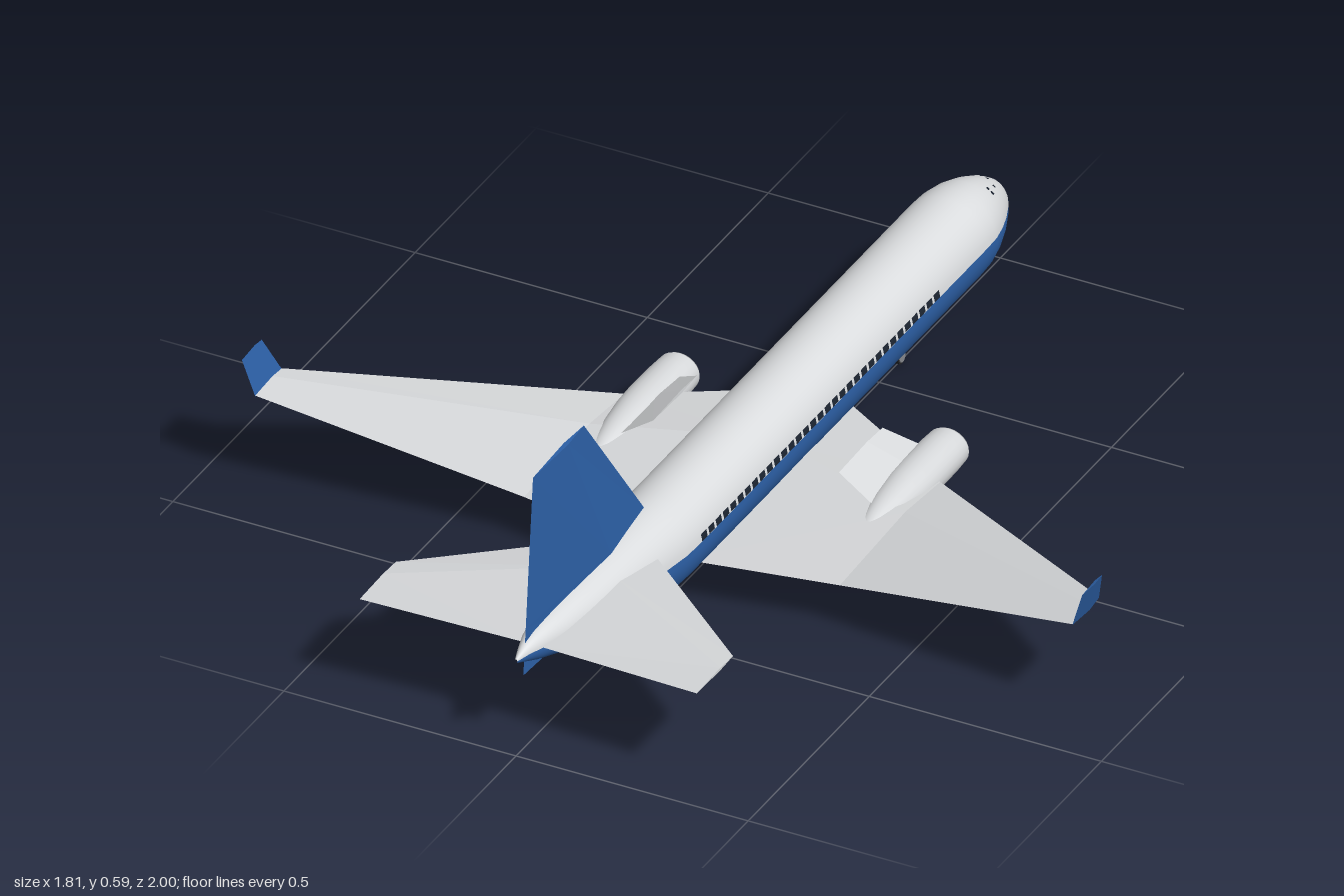
import * as THREE from 'three';

const mat = (name, color, side = THREE.FrontSide) => {
  const m = new THREE.MeshStandardMaterial({ color, side });
  m.name = name;
  return m;
};

// Fuselage stations: z, bottom y, top y, half width
const STATIONS = [
  [-1, 0.148, 0.156, 0.003], [-0.985, 0.133, 0.177, 0.02], [-0.96, 0.115, 0.204, 0.038],
  [-0.93, 0.1, 0.225, 0.054], [-0.89, 0.086, 0.244, 0.071], [-0.85, 0.077, 0.257, 0.084],
  [-0.81, 0.072, 0.263, 0.092], [-0.77, 0.07, 0.265, 0.0935], [0.42, 0.07, 0.265, 0.0935],
  [0.47, 0.072, 0.265, 0.092], [0.55, 0.083, 0.264, 0.084], [0.66, 0.1, 0.261, 0.073],
  [0.76, 0.126, 0.257, 0.06], [0.86, 0.156, 0.251, 0.043], [0.93, 0.18, 0.243, 0.026],
  [0.97, 0.197, 0.232, 0.013], [1, 0.21, 0.218, 0.003],
];
const SPLIT = 0.12; // angle above the middle where the paint changes

// Point on the hull at a given z and angle
function hullPoint(z, angle, out = 0) {
  let i = 0;
  while (i < STATIONS.length - 2 && STATIONS[i + 1][0] < z) i++;
  const [a, b] = [STATIONS[i], STATIONS[i + 1]];
  const t = (z - a[0]) / (b[0] - a[0]);
  const [, lo, hi, w] = a.map((v, k) => v + (b[k] - v) * t);
  return [(w + out) * Math.cos(angle), (lo + hi) / 2 + ((hi - lo) / 2 + out) * Math.sin(angle), z];
}

// Patch of hull skin between two angles over a list of z values
function hullPatch(zs, a0, a1, n, out = 0) {
  const pos = [], idx = [];
  for (const z of zs) for (let j = 0; j <= n; j++) pos.push(...hullPoint(z, a0 + ((a1 - a0) * j) / n, out));
  for (let i = 0; i < zs.length - 1; i++) for (let j = 0; j < n; j++) {
    const a = i * (n + 1) + j, d = a + n + 1;
    idx.push(a, a + 1, d, a + 1, d + 1, d);
  }
  const g = new THREE.BufferGeometry();
  g.setAttribute('position', new THREE.Float32BufferAttribute(pos, 3));
  g.setIndex(idx);
  g.computeVertexNormals();
  return g;
}

// Tapered blade; sections are [x, y, front z, back z, thickness]
function blade(sections, side = 1) {
  const pos = [], idx = [];
  const tri = (a, b, c) => (side > 0 ? idx.push(a, b, c) : idx.push(a, c, b));
  for (const [x, y, z0, z1, t] of sections) {
    const ridge = z0 + (z1 - z0) * 0.35;
    pos.push(side * x, y, z0, side * x, y + t / 2, ridge, side * x, y, z1, side * x, y - t / 2, ridge);
  }
  const last = (sections.length - 1) * 4;
  for (let i = 0; i < last; i += 4) for (let j = 0; j < 4; j++) {
    const k = (j + 1) % 4;
    tri(i + j, i + k, i + 4 + j);
    tri(i + k, i + 4 + k, i + 4 + j);
  }
  tri(0, 2, 1); tri(0, 3, 2);
  tri(last, last + 1, last + 2); tri(last, last + 2, last + 3);
  let g = new THREE.BufferGeometry();
  g.setAttribute('position', new THREE.Float32BufferAttribute(pos, 3));
  g.setIndex(idx);
  g = g.toNonIndexed();
  g.computeVertexNormals();
  return g;
}

export function createModel() {
  const plane = new THREE.Group();
  plane.name = 'airliner';
  const white = mat('hull white', 0xdadcde);
  const grey = mat('wing grey', 0xd2d4d6);
  const blue = mat('livery blue', 0x2c5fa5);
  const shell = mat('nacelle grey', 0xd6d8da, THREE.DoubleSide);
  const dark = mat('glass dark', 0x1c2430, THREE.DoubleSide);
  const metal = mat('gear metal', 0x85888c);
  const rubber = mat('tyre black', 0x222326);

  const add = (name, geometry, material, x = 0, y = 0, z = 0, parent = plane) => {
    const m = new THREE.Mesh(geometry, material);
    m.name = name;
    m.position.set(x, y, z);
    parent.add(m);
    return m;
  };

  // Two-tone fuselage
  const zs = STATIONS.map((s) => s[0]);
  add('upperFuselage', hullPatch(zs, SPLIT, Math.PI - SPLIT, 24), white);
  add('lowerFuselage', hullPatch(zs, Math.PI - SPLIT, Math.PI * 2 + SPLIT, 28), blue);

  // Cabin windows on both sides
  const windows = new THREE.Group();
  windows.name = 'cabinWindows';
  plane.add(windows);
  for (let z = -0.56; z < 0.43; z += 0.03) {
    for (const a of [0.14, Math.PI - 0.29]) {
      add('cabinWindow', hullPatch([z - 0.011, z + 0.011], a, a + 0.15, 2, 0.0015), dark, 0, 0, 0, windows);
    }
  }

  // Cockpit panes: centre angle, z, angular width, length
  const cockpit = new THREE.Group();
  cockpit.name = 'cockpitWindows';
  plane.add(cockpit);
  for (const [a, z, w, l] of [
    [1.35, -0.92, 0.1, 0.007], [1.57, -0.92, 0.1, 0.007], [1.79, -0.92, 0.1, 0.007],
    [1.0, -0.905, 0.1, 0.007], [2.14, -0.905, 0.1, 0.007],
    [0.9, -0.875, 0.1, 0.008], [1.05, -0.875, 0.08, 0.008],
    [2.16, -0.875, 0.1, 0.022], [2.36, -0.87, 0.11, 0.034], [2.54, -0.865, 0.1, 0.038],
  ]) {
    add('cockpitWindow', hullPatch([z - l / 2, z + l / 2], a - w / 2, a + w / 2, 2, 0.0015), dark, 0, 0, 0, cockpit);
  }

  // Fin, made as an upright blade
  const fin = blade([[0.165, 0, 0.395, 0.97, 0.036], [0.265, 0, 0.472, 0.96, 0.034], [0.59, 0, 0.72, 0.93, 0.01]]);
  add('tailFin', fin.rotateZ(Math.PI / 2), blue);

  // Nacelle profile: radius against length
  const nacelleProfile = [
    [0.036, -0.1], [0.036, -0.225], [0.041, -0.235], [0.045, -0.228], [0.047, -0.19],
    [0.048, -0.1], [0.046, -0.05], [0.038, 0.02], [0.026, 0.08], [0.018, 0.11], [0, 0.11],
  ].map(([r, z]) => new THREE.Vector2(r, z));
  const nacelle = new THREE.LatheGeometry(nacelleProfile, 24).rotateX(Math.PI / 2).scale(1, 0.9, 1);
  const fan = new THREE.CircleGeometry(0.037, 24).scale(1, 0.9, 1);
  const spinner = new THREE.ConeGeometry(0.012, 0.03, 12).rotateX(-Math.PI / 2);

  // Wheel pair with strut
  const gear = (name, x, z, r, width, top) => {
    const g = new THREE.Group();
    g.name = name;
    g.position.set(x, 0, z);
    plane.add(g);
    add('strut', new THREE.CylinderGeometry(0.006, 0.006, top - r, 10), metal, 0, (top + r) / 2, 0, g);
    add('tyre', new THREE.CylinderGeometry(r, r, width, 20).rotateZ(Math.PI / 2), rubber, 0, r, 0, g);
    add('hub', new THREE.CylinderGeometry(r * 0.75, r * 0.75, width + 0.004, 16).rotateZ(Math.PI / 2), metal, 0, r, 0, g);
  };
  gear('noseGear', 0, -0.58, 0.015, 0.014, 0.09);

  for (const s of [1, -1]) {
    const side = s > 0 ? 'left' : 'right';
    add(side + 'Wing', blade([
      [0.03, 0.1, -0.285, 0.372, 0.04], [0.34, 0.1, -0.1, 0.315, 0.028], [0.88, 0.213, 0.28, 0.39, 0.008],
    ], s), grey);
    add(side + 'Winglet', blade([[0.88, 0.211, 0.28, 0.39, 0.012], [0.905, 0.29, 0.315, 0.397, 0.008]], s), blue);
    add(side + 'Tailplane', blade([[0.02, 0.216, 0.51, 0.935, 0.03], [0.363, 0.22, 0.8, 0.95, 0.006]], s), grey);
    add(side + 'Pylon', blade([[0.2, 0.165, -0.13, 0.05, 0.008], [0.275, 0.112, -0.18, 0.05, 0.012]], s), shell);
    add(side + 'Nacelle', nacelle, shell, s * 0.29, 0.094);
    add(side + 'Fan', fan, dark, s * 0.29, 0.094, -0.195);
    add(side + 'Spinner', spinner, metal, s * 0.29, 0.094, -0.205);
    gear(side + 'MainGear', s * 0.2, 0.035, 0.023, 0.024, 0.1);
  }
  return plane;
}
